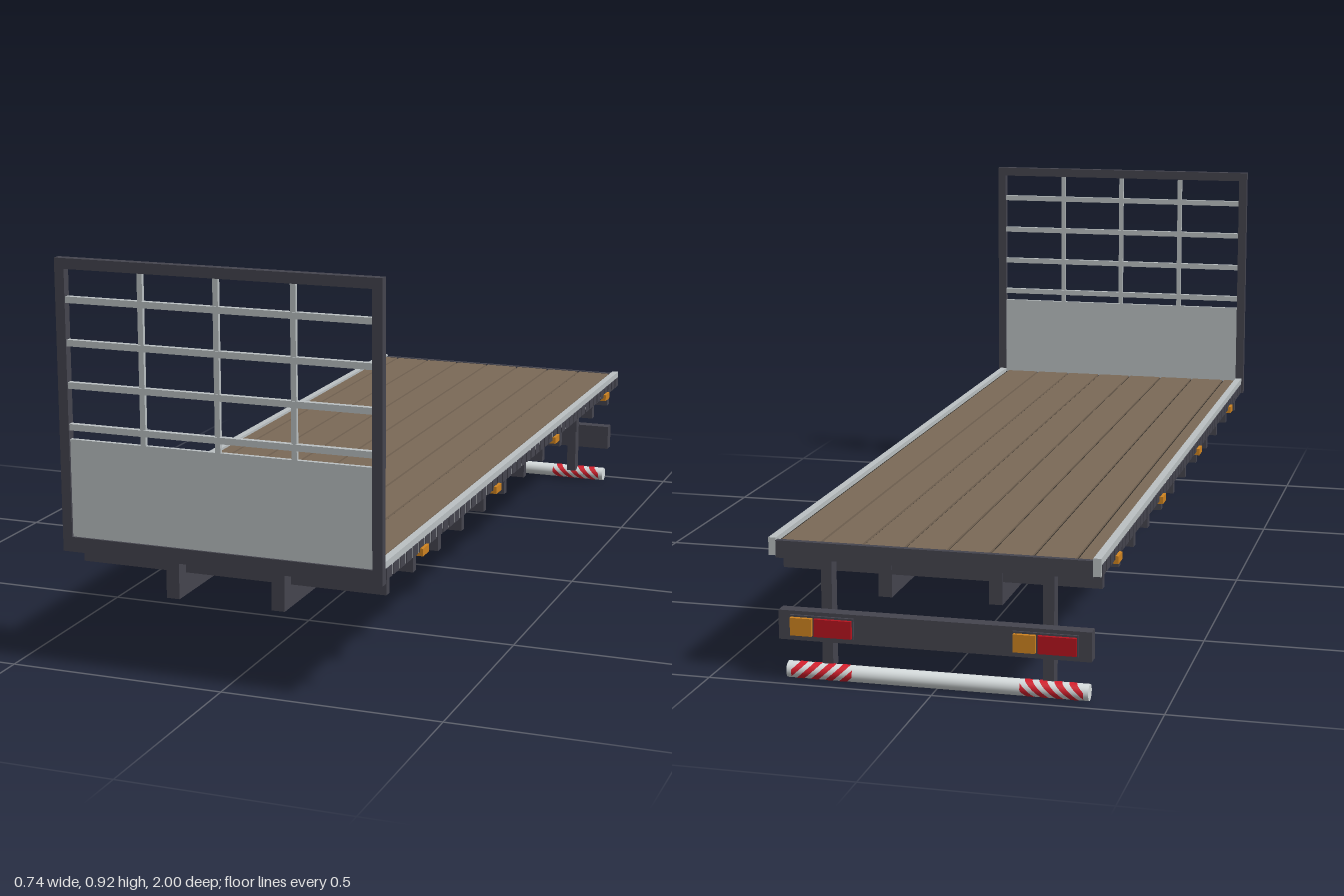
import * as THREE from 'three';

function material(name, color) {
  const m = new THREE.MeshStandardMaterial({ color });
  m.name = name;
  return m;
}

export function createModel() {
  const root = new THREE.Group();
  root.name = 'flatbedBody';
  const steel = material('dark steel', 0x45454f);
  const wood = material('deck wood', 0x7b6a58);
  const seamDark = material('seam dark', 0x2b2824);
  const alloy = material('light alloy', 0xbcc2c4);
  const white = material('tube white', 0xd9dfe0);
  const red = material('stripe red', 0xd8202e);
  const lampRed = material('lamp red', 0xb8141f);
  const amber = material('amber', 0xd08420);

  function group(name) {
    const g = new THREE.Group();
    g.name = name;
    root.add(g);
    return g;
  }
  // Box given by its minimum and maximum on each axis
  function box(parent, name, mat, x0, x1, y0, y1, z0, z1) {
    const mesh = new THREE.Mesh(new THREE.BoxGeometry(x1 - x0, y1 - y0, z1 - z0), mat);
    mesh.position.set((x0 + x1) / 2, (y0 + y1) / 2, (z0 + z1) / 2);
    mesh.name = name;
    parent.add(mesh);
    return mesh;
  }

  // Deck: dark floor with planks above it
  const deck = group('deck');
  box(deck, 'subfloor', steel, -0.345, 0.345, 0.276, 0.298, -0.975, 0.978);
  box(deck, 'plankSeams', seamDark, -0.345, 0.345, 0.298, 0.308, -0.975, 0.978);
  const pitch = 0.0926, gap = 0.003;
  box(deck, 'plank', wood, -0.345, -0.309 - gap, 0.3, 0.313, -0.975, 0.978);
  for (let i = 0; i < 7; i++) {
    const x = -0.309 + i * pitch;
    box(deck, 'plank', wood, x + gap, Math.min(x + pitch - gap, 0.345), 0.3, 0.313, -0.975, 0.978);
  }
  box(deck, 'rearBeam', steel, -0.345, 0.345, 0.276, 0.314, -0.988, -0.975);

  // Side rails with a row of lashing slots, and marker lamps
  const sides = group('sideRails');
  for (const s of [-1, 1]) {
    const sided = (name, mat, a, b, ...rest) =>
      box(sides, name, mat, Math.min(s * a, s * b), Math.max(s * a, s * b), ...rest);
    sided('sideRail', alloy, 0.345, 0.362, 0.28, 0.319, -0.985, 0.98);
    const slots = 48, step = 1.95 / slots;
    for (let i = 0; i < slots; i++) {
      const z = -0.978 + i * step;
      sided('lashingSlot', steel, 0.361, 0.364, 0.28, 0.304, z, z + step * 0.8);
    }
    for (const z of [0.737, 0.205, -0.31, -0.83]) {
      sided('sideMarker', amber, 0.355, 0.371, 0.271, 0.288, z - 0.02, z + 0.02);
    }
  }

  // Chassis: two long beams and twelve crossmembers
  const chassis = group('chassis');
  for (const s of [-1, 1]) {
    box(chassis, 'longBeam', steel, s * 0.122 - 0.015, s * 0.122 + 0.015, 0.186, 0.278, -0.925, 0.97);
  }
  for (let i = 0; i < 12; i++) {
    const z = 0.925 - i * 0.167;
    box(chassis, 'crossmember', steel, -0.352, 0.352, 0.236, 0.277, z - 0.01, z + 0.01);
  }

  // Headboard: frame, solid panel and grille
  const head = group('headboard');
  box(head, 'baseBeam', steel, -0.367, 0.367, 0.276, 0.309, 0.979, 1);
  box(head, 'topBar', steel, -0.367, 0.367, 0.894, 0.917, 0.98, 1);
  for (const s of [-1, 1]) {
    box(head, 'post', steel, s * 0.356 - 0.011, s * 0.356 + 0.011, 0.309, 0.894, 0.98, 1);
  }
  box(head, 'panel', alloy, -0.345, 0.345, 0.309, 0.525, 0.985, 0.995);
  for (const y of [0.552, 0.643, 0.735, 0.828]) {
    box(head, 'grilleBar', alloy, -0.345, 0.345, y - 0.007, y + 0.007, 0.984, 0.997);
  }
  for (const x of [-0.172, 0, 0.172]) {
    box(head, 'grilleUpright', alloy, x - 0.006, x + 0.006, 0.525, 0.894, 0.986, 0.995);
  }

  // Rear hangers, lamp board and lamps
  const rear = group('rearGuard');
  for (const s of [-1, 1]) {
    box(rear, 'hanger', steel, s * 0.244 - 0.012, s * 0.244 + 0.012, 0.03, 0.278, -0.955, -0.922);
  }
  box(rear, 'lampBoard', steel, -0.343, 0.343, 0.095, 0.16, -0.985, -0.955);
  for (const x of [-0.313, 0.177]) {
    box(rear, 'lampHousing', steel, x - 0.003, x + 0.139, 0.105, 0.152, -0.99, -0.985);
    box(rear, 'redLamp', lampRed, x, x + 0.083, 0.109, 0.148, -0.998, -0.99);
    box(rear, 'amberLamp', amber, x + 0.088, x + 0.136, 0.109, 0.148, -0.999, -0.99);
  }

  // Guard tube with slanted warning stripes
  const tube = new THREE.Mesh(new THREE.CylinderGeometry(0.018, 0.018, 0.666, 32).rotateZ(Math.PI / 2), white);
  tube.name = 'guardTube';
  tube.position.set(0, 0.019, -0.955);
  rear.add(tube);
  for (const s of [-1, 1]) {
    for (let i = 0; i < 5; i++) {
      const geo = new THREE.CylinderGeometry(0.0187, 0.0187, 0.017, 32, 1, true).rotateZ(Math.PI / 2);
      const p = geo.attributes.position;
      for (let k = 0; k < p.count; k++) {
        const x = s * (0.19 + i * 0.032) + p.getX(k) - s * p.getY(k) * 1.1;
        p.setX(k, s * THREE.MathUtils.clamp(s * x, 0.185, 0.322));
      }
      const stripe = new THREE.Mesh(geo, red);
      stripe.name = 'warningStripe';
      stripe.position.copy(tube.position);
      rear.add(stripe);
    }
  }
  return root;
}
